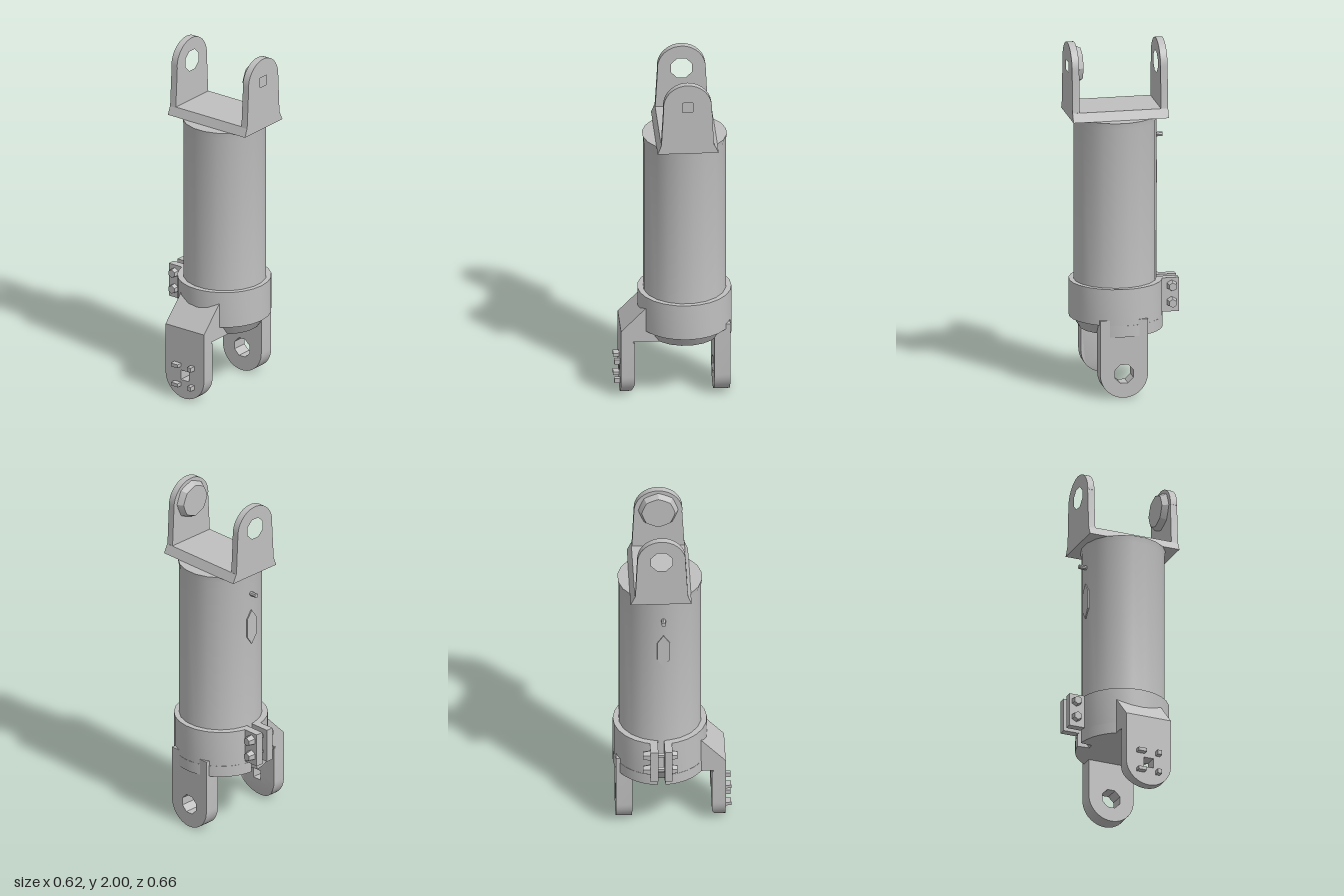
import * as THREE from 'three';
import { toCreasedNormals } from 'three/addons/utils/BufferGeometryUtils.js';

const CX = 0.035, CZ = -0.067; // axis of the strut
const steel = new THREE.MeshStandardMaterial({ color: 0xc0c0c0 });
steel.name = 'grey steel';

function add(group, name, geometry, x = 0, y = 0, z = 0) {
  const mesh = new THREE.Mesh(toCreasedNormals(geometry, 0.55), steel);
  mesh.name = name;
  mesh.position.set(x, y, z);
  group.add(mesh);
  return mesh;
}

function extrude(shape, depth) {
  return new THREE.ExtrudeGeometry(shape, { depth, bevelEnabled: false, curveSegments: 12 });
}

// Polygonal hole outline
function holePath(y, radius, sides, turn = 0) {
  const pts = [];
  for (let i = 0; i < sides; i++) {
    const a = turn - (i / sides) * Math.PI * 2;
    pts.push(new THREE.Vector2(Math.cos(a) * radius, y + Math.sin(a) * radius));
  }
  return new THREE.Path(pts);
}

// Box given by its limits
function block(group, name, x0, x1, y0, y1, z0, z1) {
  return add(group, name, new THREE.BoxGeometry(x1 - x0, y1 - y0, z1 - z0),
    (x0 + x1) / 2, (y0 + y1) / 2, (z0 + z1) / 2);
}

// Profile in z and y, extruded along x from x0 to x1
function sideProfile(points, x0, x1) {
  const shape = new THREE.Shape(points.map(([z, y]) => new THREE.Vector2(-z, y)));
  return extrude(shape, x1 - x0).rotateY(Math.PI / 2).translate(x0, 0, 0);
}

// Part of a ring lying flat; angles in degrees, 90 is the back
function arcBand(inner, outer, from, to, height) {
  const a = THREE.MathUtils.degToRad(from), b = THREE.MathUtils.degToRad(to);
  const shape = new THREE.Shape();
  shape.absarc(0, 0, outer, a, b, false);
  shape.absarc(0, 0, inner, b, a, true);
  return extrude(shape, height).rotateX(-Math.PI / 2);
}

// Upright ear with a rounded top
function upperArm(hole) {
  const s = new THREE.Shape();
  s.moveTo(-0.155, 1.59);
  s.lineTo(-0.146, 1.64);
  s.lineTo(-0.133, 1.865);
  s.absarc(0, 1.865, 0.135, Math.PI, 0, true);
  s.lineTo(0.146, 1.64);
  s.lineTo(0.155, 1.59);
  s.holes.push(hole);
  return extrude(s, 0.04).rotateY(Math.PI / 2);
}

// Hanging lug with a rounded bottom
function lowerLug(top, depth, hole) {
  const s = new THREE.Shape();
  s.moveTo(-0.135, top);
  s.lineTo(-0.135, 0.138);
  s.absarc(0, 0.138, 0.135, Math.PI, Math.PI * 2, false);
  s.lineTo(0.135, top);
  s.holes.push(hole);
  return extrude(s, depth);
}

export function createModel() {
  const model = new THREE.Group();
  model.name = 'strut';

  // Main tube with flared rim and chamfered foot
  const profile = [[0, 0.355], [0.2, 0.355], [0.24, 0.42], [0.231, 0.5], [0.231, 1.545], [0.237, 1.58], [0, 1.58]];
  add(model, 'tube', new THREE.LatheGeometry(profile.map(([r, y]) => new THREE.Vector2(r, y)), 20, Math.PI / 20), CX, 0, CZ);

  // Upper fork
  const fork = new THREE.Group();
  fork.name = 'upperFork';
  model.add(fork);
  add(fork, 'forkBase', sideProfile([[0.1, 1.58], [-0.24, 1.58], [-0.216, 1.63], [0.08, 1.63]], -0.237, 0.305));
  add(fork, 'rightArm', upperArm(holePath(1.865, 0.064, 8, Math.PI / 8)), -0.237, 0, CZ);
  add(fork, 'leftArm', upperArm(holePath(1.865, 0.04, 4, Math.PI / 4)), 0.265, 0, CZ);

  // Scalloped knob on the inside of the left arm
  const knob = new THREE.CylinderGeometry(0.09, 0.108, 0.035, 24);
  const p = knob.attributes.position;
  for (let i = 0; i < p.count; i++) {
    const k = 1 + 0.035 * Math.cos(8 * Math.atan2(p.getZ(i), p.getX(i)));
    p.setX(i, p.getX(i) * k);
    p.setZ(i, p.getZ(i) * k);
  }
  add(fork, 'knob', knob.rotateZ(Math.PI / 2), 0.2485, 1.872, CZ);

  // Clamping collar, split on the right side, with a deeper skirt there
  const collar = new THREE.Group();
  collar.name = 'collar';
  model.add(collar);
  add(collar, 'collarBand', arcBand(0.225, 0.262, 185, 535, 0.21), CX - 0.004, 0.42, CZ);
  for (const [a, b] of [[60, 175], [185, 245]]) {
    add(collar, 'collarSkirt', arcBand(0.19, 0.262, a, b, 0.065), CX - 0.004, 0.355, CZ);
  }
  block(collar, 'rearEar', -0.315, -0.2, 0.435, 0.63, -0.132, -0.088);
  block(collar, 'frontEar', -0.315, -0.2, 0.435, 0.63, -0.052, -0.009);
  for (const y of [0.585, 0.49]) {
    const head = (r0, r1, h) => new THREE.CylinderGeometry(r0, r1, h, 6).rotateX(Math.PI / 2);
    add(collar, 'boltShank', head(0.015, 0.015, 0.1), -0.274, y, -0.07);
    add(collar, 'boltNut', head(0.024, 0.028, 0.03), -0.274, y, 0.005);
    add(collar, 'boltHead', head(0.032, 0.024, 0.042), -0.274, y, -0.151);
  }

  // Front bracket, sloping out of the collar
  add(model, 'frontBracket', sideProfile(
    [[0.05, 0.355], [0.05, 0.63], [0.09, 0.63], [0.295, 0.42], [0.295, 0.34], [0.222, 0.34], [0.228, 0.355]], -0.102, 0.168));
  const lug = lowerLug(0.345, 0.077, holePath(0.14, 0.04, 4, Math.PI / 4));
  const q = lug.attributes.position;
  for (let i = 0; i < q.count; i++) {
    // Thin the inner face toward the rounded end
    if (q.getZ(i) < 0.01 && q.getY(i) < 0.08) q.setZ(i, (0.08 - q.getY(i)) * 0.32);
  }
  add(model, 'frontLug', lug, 0.033, 0, 0.218);

  // Retaining tabs around the square socket
  for (const y of [0.085, 0.2]) {
    block(model, 'retainingTab', -0.04, 0.008, y - 0.01, y + 0.01, 0.29, 0.328);
    block(model, 'retainingTab', 0.075, 0.1, y - 0.013, y + 0.013, 0.29, 0.328);
  }

  // Rear lug
  add(model, 'rearLug', lowerLug(0.45, 0.09, holePath(0.14, 0.057, 8, Math.PI / 8)), 0.033, 0, -0.315);

  // Pin and elongated cover plate on the right side of the tube
  add(model, 'pin', new THREE.CylinderGeometry(0.013, 0.013, 0.055, 8).rotateZ(Math.PI / 2), -0.209, 1.44, -0.055);
  add(model, 'coverPlate', sideProfile(
    [[-0.055, 1.34], [-0.09, 1.29], [-0.09, 1.18], [-0.055, 1.13], [-0.02, 1.18], [-0.02, 1.29]], -0.2, -0.191));

  return model;
}
